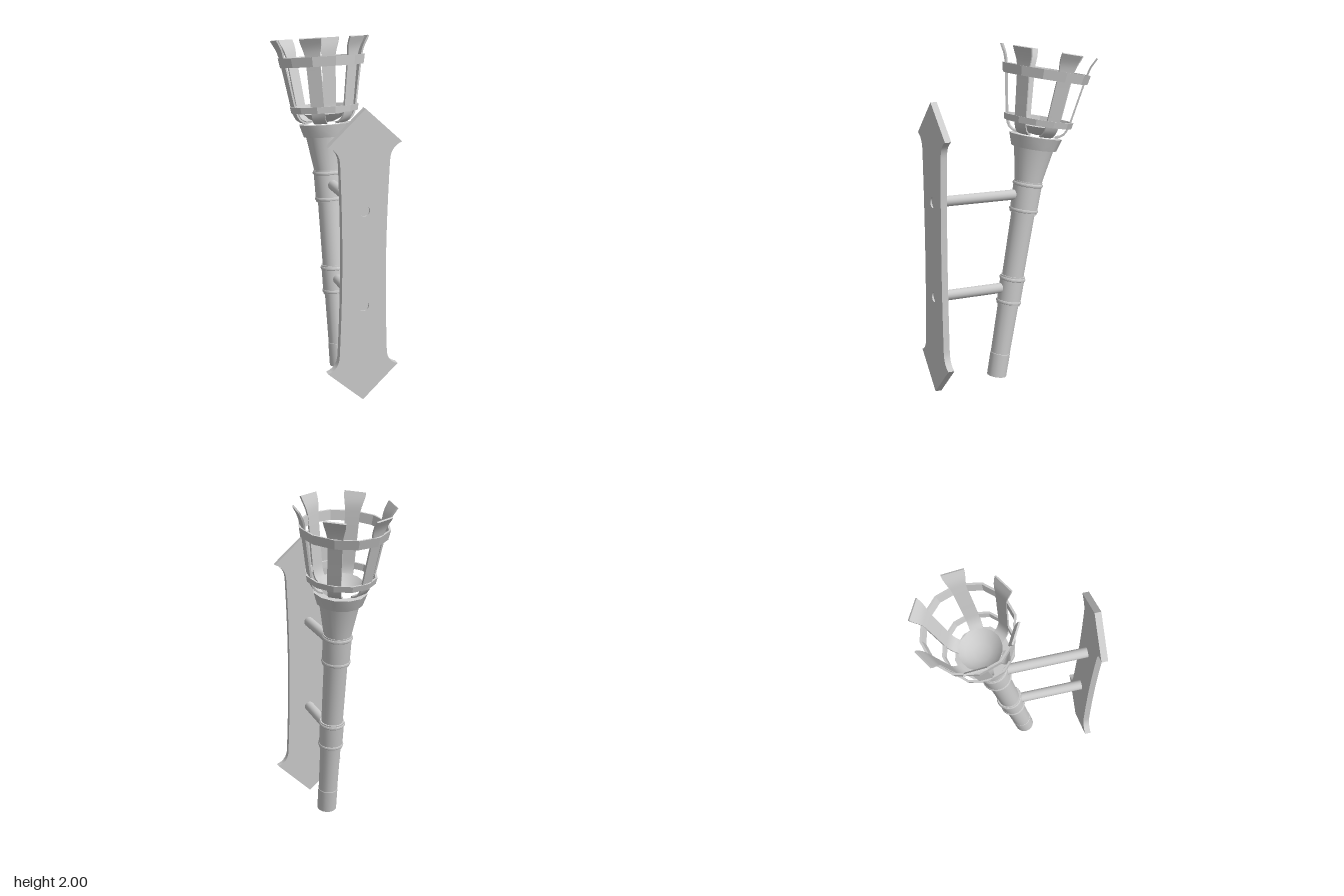
import * as THREE from 'three';
import { toCreasedNormals } from 'three/addons/utils/BufferGeometryUtils.js';

const V2 = (p) => new THREE.Vector2(p[0], p[1]);

export function createModel() {
  const model = new THREE.Group();
  model.name = 'wallTorch';
  const mat = new THREE.MeshStandardMaterial({ color: 0xcccccc });
  const openMat = new THREE.MeshStandardMaterial({ color: 0xcccccc, side: THREE.DoubleSide });

  const add = (parent, name, geo, crease = 0.6, material = mat) => {
    const mesh = new THREE.Mesh(toCreasedNormals(geo, crease), material);
    mesh.name = name;
    parent.add(mesh);
    return mesh;
  };
  const lathe = (points, sides) => new THREE.LatheGeometry(points.map(V2), sides);

  // Wall plate: pointed ends, slightly waisted sides, a hole for each rod
  const rods = [['lowerRod', 0.578, 0.01], ['upperRod', 1.133, -0.08]];
  const rodRadius = 0.03;
  const yMid = 0.85;
  const plate = new THREE.Shape();
  plate.moveTo(0, 0);
  plate.lineTo(0.21, 0.194);
  plate.quadraticCurveTo(0.145, 0.215, 0.142, 0.29);
  plate.quadraticCurveTo(0.128, 0.6, 0.128, yMid);
  plate.quadraticCurveTo(0.128, 1.1, 0.142, 1.405);
  plate.quadraticCurveTo(0.145, 1.48, 0.21, 1.503);
  plate.lineTo(0, 1.697);
  plate.lineTo(-0.21, 1.503);
  plate.quadraticCurveTo(-0.145, 1.48, -0.142, 1.405);
  plate.quadraticCurveTo(-0.128, 1.1, -0.128, yMid);
  plate.quadraticCurveTo(-0.128, 0.6, -0.142, 0.29);
  plate.quadraticCurveTo(-0.145, 0.215, -0.21, 0.194);
  for (const [, y] of rods) {
    plate.holes.push(new THREE.Path().absarc(0, y, rodRadius, 0, Math.PI * 2, true));
  }
  const plateGeo = new THREE.ExtrudeGeometry(plate, { depth: 0.037, bevelEnabled: false, curveSegments: 8 });
  add(model, 'wallPlate', plateGeo).position.z = 0.463;

  // Rods joining the torch to the plate, ending just inside their holes
  const zStart = 0.49;
  for (const [name, y, zEnd] of rods) {
    const rod = new THREE.CylinderGeometry(rodRadius, rodRadius, zStart - zEnd, 16).rotateX(Math.PI / 2);
    add(model, name, rod).position.set(0, y, (zStart + zEnd) / 2);
  }

  // Tilted torch, built upright along its own y axis
  const torch = new THREE.Group();
  torch.name = 'torch';
  torch.position.set(0, 0.038, 0.108);
  torch.rotation.x = -0.175;
  model.add(torch);

  add(torch, 'handle', lathe([
    [0, 0], [0.058, 0], [0.059, 0.14], [0.057, 0.142], [0.063, 0.55],
    [0.069, 1.0], [0.079, 1.18], [0.116, 1.385],
  ], 24));

  // Sleeves with a rounded ring near each end
  for (const [name, y0, y1, r0, r1] of [['lowerSleeve', 0.46, 0.6, 0.07, 0.072], ['upperSleeve', 1.015, 1.168, 0.08, 0.084]]) {
    add(torch, name, lathe([[0.05, y0 - 0.018], [r0, y0 - 0.018], [r1, y1 + 0.018], [0.05, y1 + 0.018]], 24));
    for (const [y, r] of [[y0, r0], [y1, r1]]) {
      const ring = new THREE.TorusGeometry(r - 0.006, 0.012, 10, 24).rotateX(Math.PI / 2);
      add(torch, name + 'Ring', ring, 1).position.y = y;
    }
  }

  // Collar and the shallow bowl standing in it
  add(torch, 'collar', lathe([[0.1, 1.381], [0.132, 1.381], [0.155, 1.453], [0.11, 1.453]], 12), 0.55);
  add(torch, 'bowl', lathe([
    [0, 1.458], [0.05, 1.465], [0.09, 1.482], [0.122, 1.512],
  ], 16), 0.6, openMat);

  // Basket hoops
  const hoop = (name, y, h, r0, r1, t) => add(torch, name, lathe([
    [r0 - t, y - h / 2], [r0, y - h / 2], [r1, y + h / 2], [r1 - t, y + h / 2], [r0 - t, y - h / 2],
  ], 12), 0.3);
  hoop('lowerHoop', 1.541, 0.036, 0.197, 0.204, 0.012);
  hoop('upperHoop', 1.814, 0.055, 0.246, 0.257, 0.012);

  // Six basket straps: a box bent along a curve and flared at the tip
  const path = new THREE.CatmullRomCurve3([
    [0.112, 1.462], [0.15, 1.476], [0.175, 1.515], [0.189, 1.58],
    [0.21, 1.7], [0.233, 1.825], [0.247, 1.885], [0.277, 1.944],
  ].map(([r, y]) => new THREE.Vector3(0, y, r)));
  const strap = new THREE.BoxGeometry(1, 1, 0.01, 1, 20, 1);
  const pos = strap.attributes.position;
  for (let i = 0; i < pos.count; i++) {
    const t = pos.getY(i) + 0.5;
    const p = path.getPointAt(t);
    const d = path.getTangentAt(t);
    const width = 0.074 + 0.01 * t + 0.04 * THREE.MathUtils.smoothstep(t, 0.75, 1);
    const off = pos.getZ(i);
    pos.setXYZ(i, pos.getX(i) * width, p.y - d.z * off, p.z + d.y * off);
  }
  for (let i = 0; i < 6; i++) {
    add(torch, 'basketStrap', strap).rotation.y = Math.PI / 6 + i * Math.PI / 3;
  }

  return model;
}
